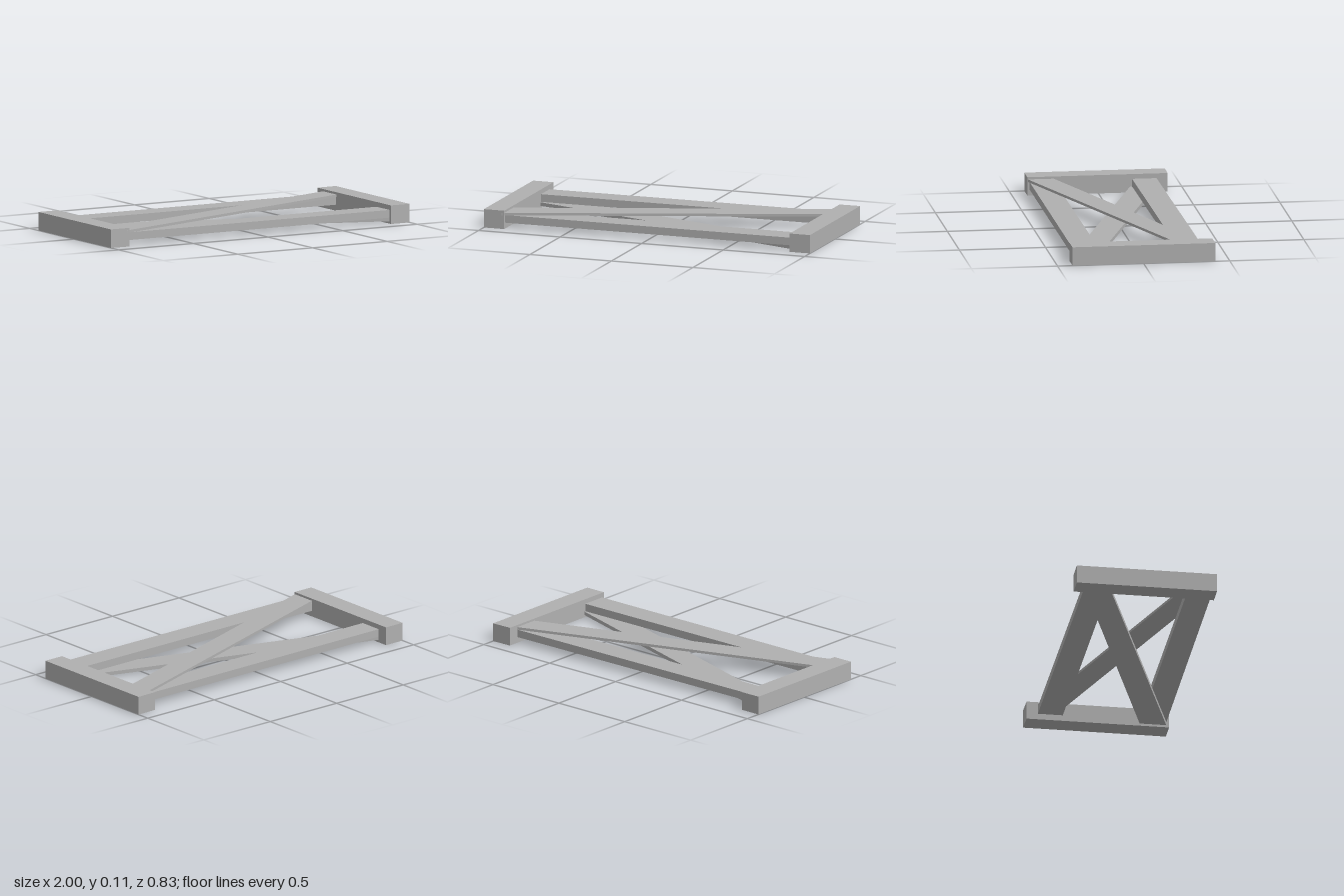
import * as THREE from 'three';

export function createModel() {
  const group = new THREE.Group();
  group.name = 'crossBracedFrame';
  const steel = new THREE.MeshStandardMaterial({ color: 0xb0b0b0 });
  steel.name = 'plain grey';

  // Flat bar between x0 and x1; left and right give [zBack, zFront] at each end
  function bar(name, x0, x1, left, right, yBottom, yTop) {
    const outline = new THREE.Shape([
      new THREE.Vector2(x0, left[0]),
      new THREE.Vector2(x1, right[0]),
      new THREE.Vector2(x1, right[1]),
      new THREE.Vector2(x0, left[1]),
    ]);
    const geometry = new THREE.ExtrudeGeometry(outline, { depth: yTop - yBottom, bevelEnabled: false });
    geometry.rotateX(Math.PI / 2);
    geometry.translate(0, yTop, 0);
    const mesh = new THREE.Mesh(geometry, steel);
    mesh.name = name;
    group.add(mesh);
  }

  // End beams
  bar('rightEndBeam', -1, -0.875, [-0.402, 0.413], [-0.402, 0.413], 0, 0.108);
  bar('leftEndBeam', 0.875, 1, [-0.415, 0.413], [-0.418, 0.413], 0, 0.108);

  // Long rails, in the middle layer
  bar('frontRail', -0.88, 0.88, [0.257, 0.4], [0.25, 0.398], 0.035, 0.08);
  bar('backRail', -0.88, 0.88, [-0.337, -0.195], [-0.35, -0.205], 0.035, 0.08);

  // Crossing diagonals, one above the rails and one below
  bar('upperDiagonal', -0.89, 0.885, [0.265, 0.415], [-0.353, -0.203], 0.08, 0.095);
  bar('lowerDiagonal', -0.885, 0.885, [-0.337, -0.187], [0.245, 0.4], 0.014, 0.035);

  return group;
}
